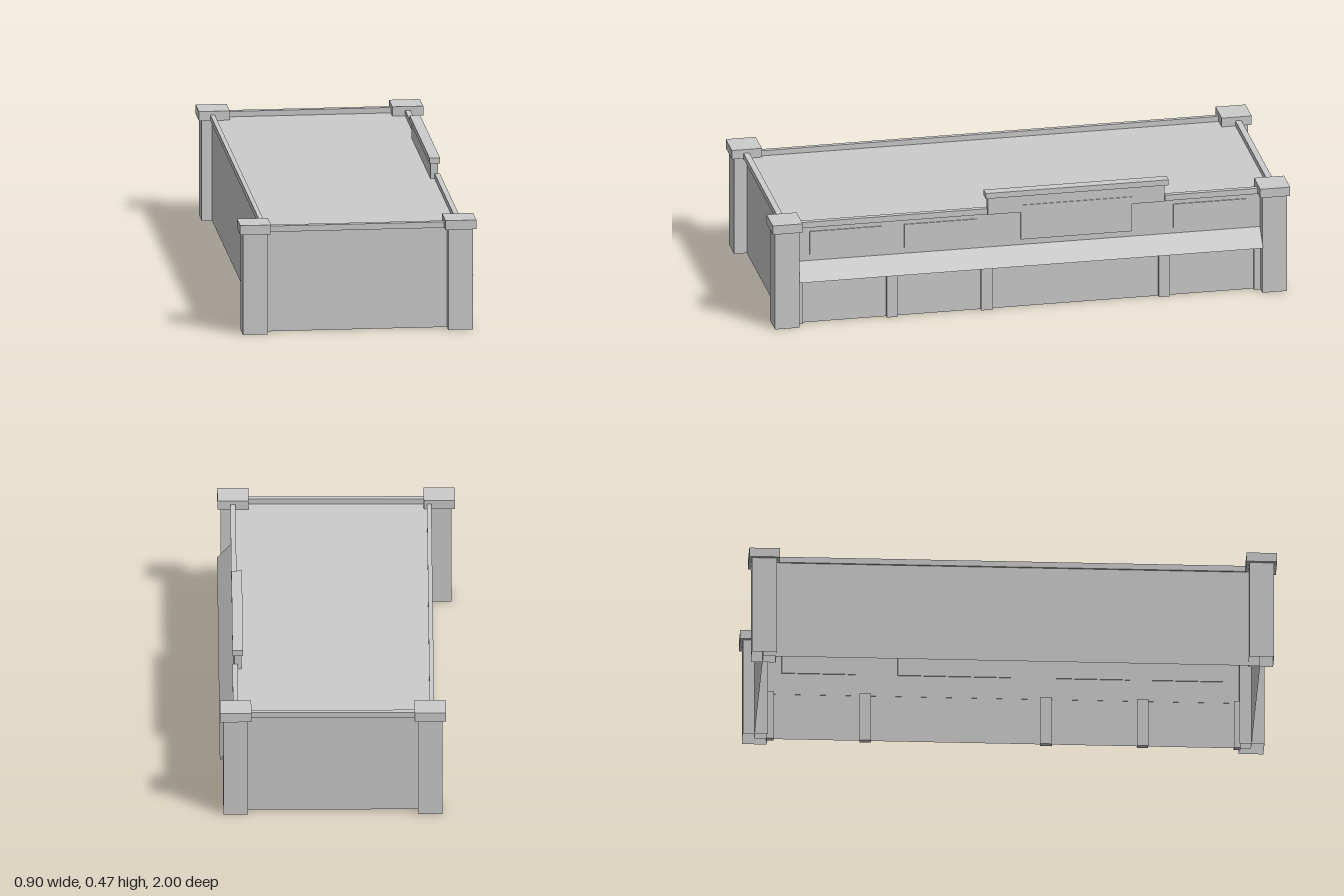
import * as THREE from 'three';

const grey = new THREE.MeshStandardMaterial({ color: 0xcccccc, flatShading: true, side: THREE.DoubleSide });

// Box given by its limits along x, y and z; "open" leaves out the underside
function box(parent, name, [x0, x1], [y0, y1], [z0, z1], open = false) {
  const geometry = new THREE.BoxGeometry(x1 - x0, y1 - y0, z1 - z0);
  if (open) {
    const index = Array.from(geometry.index.array);
    index.splice(18, 6);
    geometry.setIndex(index);
    geometry.clearGroups();
  }
  geometry.translate((x0 + x1) / 2, (y0 + y1) / 2, (z0 + z1) / 2);
  const mesh = new THREE.Mesh(geometry, grey);
  mesh.name = name;
  parent.add(mesh);
  return mesh;
}

export function createModel() {
  const building = new THREE.Group();
  building.name = 'shopBuilding';

  // Hollow main block with flat roof
  box(building, 'wallsAndRoof', [-0.355, 0.387], [0, 0.392], [-0.945, 0.94], true);

  // Corner posts with square caps: the back left one is set further in
  const corners = [
    ['frontLeft', 0.39, 0.942], ['backLeft', 0.39, -0.942],
    ['frontRight', -0.392, 0.942], ['backRight', -0.347, -0.942],
  ];
  for (const [name, x, z] of corners) {
    box(building, name + 'Post', [x - 0.047, x + 0.047], [0, 0.392], [z - 0.047, z + 0.047], true);
    box(building, name + 'Cap', [x - 0.059, x + 0.059], [0.392, 0.428], [z - 0.058, z + 0.058]);
  }

  // Roof edge trims
  const trimY = [0.39, 0.413];
  box(building, 'frontTrim', [-0.335, 0.335], trimY, [0.932, 0.955]);
  box(building, 'backTrim', [-0.29, 0.335], trimY, [-0.96, -0.937]);
  box(building, 'sideTrim', [-0.362, -0.345], trimY, [-0.885, 0.885]);
  box(building, 'facadeTrimFront', [0.38, 0.4], trimY, [0.16, 0.885]);
  box(building, 'facadeTrimBack', [0.38, 0.4], trimY, [-0.885, -0.526]);

  // Raised parapet above the facade
  box(building, 'parapet', [0.365, 0.393], [0.385, 0.455], [-0.526, 0.157]);
  box(building, 'parapetCap', [0.36, 0.4], [0.453, 0.475], [-0.54, 0.167]);

  // Facade pilasters below the awning
  for (const [z0, z1] of [[0.875, 0.9], [0.508, 0.55], [0.14, 0.185], [-0.545, -0.502], [-0.9, -0.87]]) {
    box(building, 'pilaster', [0.38, 0.402], [0, 0.195], [z0, z1]);
  }

  // Thin facade panels above the awning
  for (const [z, width, y0, y1] of [
    [0.705, 0.28, 0.275, 0.37], [0.34, 0.28, 0.275, 0.37],
    [-0.185, 0.43, 0.275, 0.415], [-0.7, 0.28, 0.275, 0.37],
  ]) {
    box(building, 'facadePanel', [0.383, z === -0.185 ? 0.396 : 0.391], [y0, y1], [z - width / 2, z + width / 2]);
  }

  // Sloping awning, a triangular prism along the facade
  const profile = new THREE.Shape([
    new THREE.Vector2(0.386, 0.187), new THREE.Vector2(0.45, 0.187), new THREE.Vector2(0.386, 0.252),
  ]);
  const awning = new THREE.Mesh(
    new THREE.ExtrudeGeometry(profile, { depth: 1.79, bevelEnabled: false }), grey);
  awning.position.z = -0.895;
  awning.name = 'awning';
  building.add(awning);

  return building;
}
